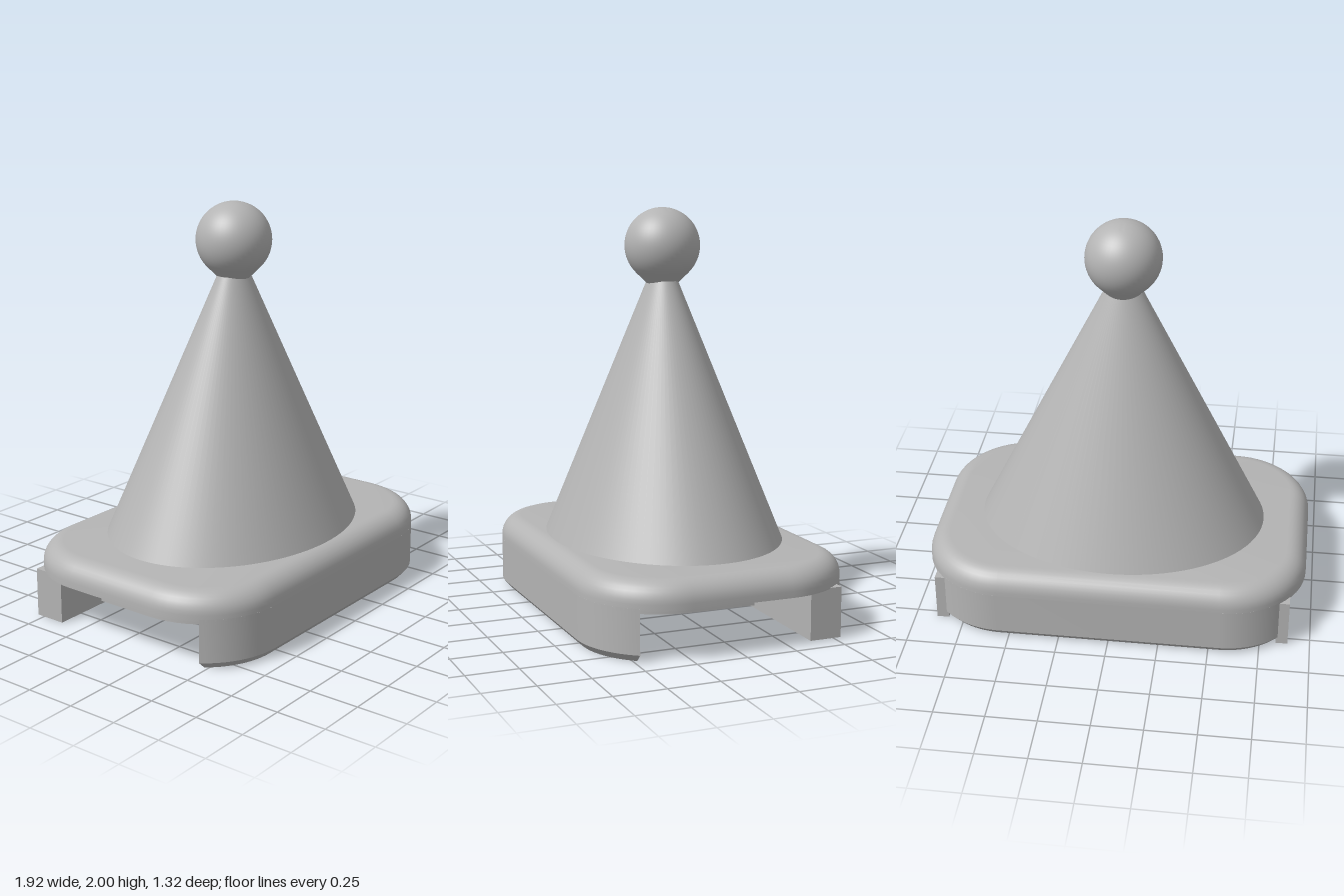
import * as THREE from 'three';
import { toCreasedNormals } from 'three/addons/utils/BufferGeometryUtils.js';

const HALF_X = 0.96, HALF_Z = 0.66, CORNER = 0.41, STEPS = 14;

// Rounded-rectangle outline shrunk by inset; with z0, only the part in front of z0
function outline(inset, z0) {
  const r = CORNER - inset, cx = HALF_X - CORNER, cz = HALF_Z - CORNER;
  const pts = [];
  const arc = (sx, sz, from, to) => {
    for (let i = 0; i <= STEPS; i++) {
      const a = from + (to - from) * i / STEPS;
      pts.push([sx * cx + r * Math.cos(a), sz * cz + r * Math.sin(a)]);
    }
  };
  const q = Math.PI / 2;
  if (z0 === undefined) {
    arc(1, 1, 0, q);
    arc(-1, 1, q, 2 * q);
    arc(-1, -1, 2 * q, 3 * q);
    arc(1, -1, 3 * q, 4 * q);
    return pts;
  }
  const start = z0 > cz ? Math.asin((z0 - cz) / r) : 0;
  if (z0 < cz) pts.push([cx + r, z0]);
  arc(1, 1, start, q);
  arc(-1, 1, q, 2 * q - start);
  if (z0 < cz) pts.push([-cx - r, z0]);
  return pts;
}

// Stack outlines from bottom to top; layers are [inset, y]
function loft(layers, z0) {
  const pos = [], idx = [];
  const rings = layers.map(([inset]) => outline(inset, z0));
  const n = rings[0].length, top = (layers.length - 1) * n;
  rings.forEach((ring, k) => ring.forEach(([x, z]) => pos.push(x, layers[k][1], z)));
  for (let k = 0; k < layers.length - 1; k++) {
    for (let i = 0; i < n; i++) {
      const j = (i + 1) % n, a = k * n + i, b = k * n + j;
      idx.push(a, a + n, b + n, a, b + n, b);
    }
  }
  for (let i = 1; i < n - 1; i++) {
    idx.push(0, i, i + 1, top, top + i + 1, top + i);
  }
  const g = new THREE.BufferGeometry();
  g.setAttribute('position', new THREE.Float32BufferAttribute(pos, 3));
  g.setIndex(idx);
  return toCreasedNormals(g, 0.5);
}

export function createModel() {
  const model = new THREE.Group();
  const grey = new THREE.MeshStandardMaterial({ color: 0xb4b4b4 });
  grey.name = 'plain grey';

  const add = (name, geometry, x = 0, y = 0, z = 0) => {
    const mesh = new THREE.Mesh(geometry, grey);
    mesh.name = name;
    mesh.position.set(x, y, z);
    model.add(mesh);
    return mesh;
  };
  // Box given by its lower and upper corners
  const block = (name, x0, x1, y0, y1, z0, z1) => add(name,
    new THREE.BoxGeometry(x1 - x0, y1 - y0, z1 - z0),
    (x0 + x1) / 2, (y0 + y1) / 2, (z0 + z1) / 2);

  // Base plate with a rounded upper edge
  const fillet = 0.1, plate = [[0, 0.24], [0, 0.27]];
  for (let i = 1; i <= 8; i++) {
    const a = i / 8 * Math.PI / 2;
    plate.push([fillet * (1 - Math.cos(a)), 0.27 + fillet * Math.sin(a)]);
  }
  add('basePlate', loft(plate));
  add('undersideStep', loft([[0, 0.228], [0, 0.24]], -0.05));

  // Front and back walls with a chamfered lower edge
  const wall = [[0.03, 0], [0, 0.035], [0, 0.25]];
  add('frontWall', loft(wall, 0.48));
  add('backWall', loft(wall, 0.54)).rotation.y = Math.PI;

  // Clip bar behind the back wall, with end tabs and a centre catch
  block('clipBar', -0.83, 0.83, 0, 0.245, -0.48, -0.38);
  for (const s of [-1, 1]) {
    block('clipTab', s * 0.86 - 0.03, s * 0.86 + 0.03, 0, 0.245, -0.54, -0.38);
  }
  block('clipCatch', -0.05, 0.05, 0, 0.2, -0.38, -0.31);

  // Oval cone
  const cone = new THREE.CylinderGeometry(0.095, 0.73, 1.27, 96);
  cone.scale(1, 1, 0.78);
  add('cone', cone, 0, 1.005, 0);

  // Ball with a tapered neck
  const R = 0.187, profile = [[0, -0.187], [0.077, -0.187]];
  for (let i = 0; i <= 24; i++) {
    const a = -Math.PI / 4 + i / 24 * Math.PI * 0.75;
    profile.push([Math.max(0, R * Math.cos(a)), R * Math.sin(a)]);
  }
  const ball = new THREE.LatheGeometry(profile.map(p => new THREE.Vector2(...p)), 48);
  add('ball', toCreasedNormals(ball, 0.6), 0, 1.813, 0);

  return model;
}
